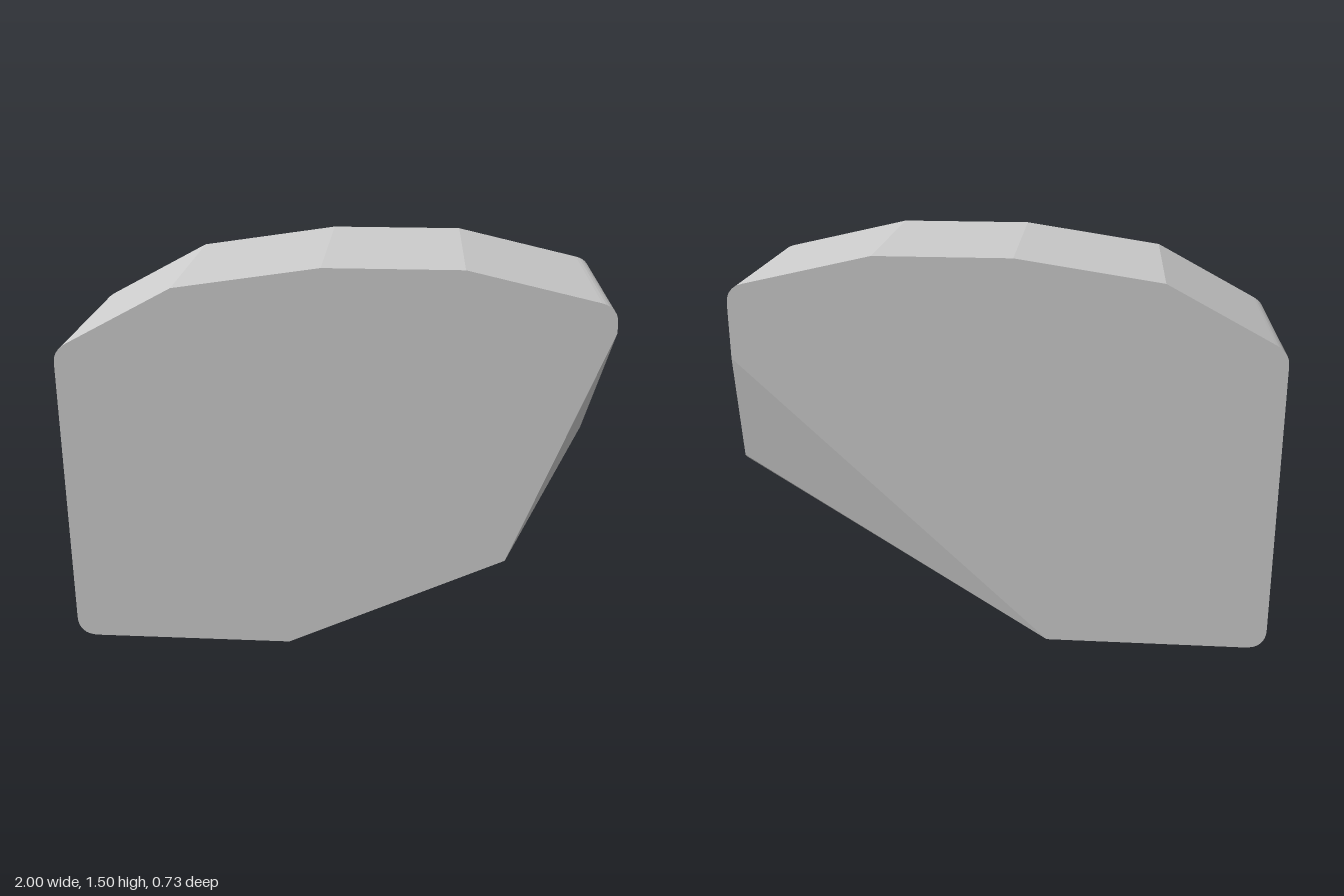
import * as THREE from 'three';
import { ConvexGeometry } from 'three/addons/geometries/ConvexGeometry.js';

const HALF_DEPTH = 0.363;

// Rounded corner between two tangent points
function roundCorner(from, corner, to, segments = 8) {
  return new THREE.QuadraticBezierCurve(
    new THREE.Vector2(...from), new THREE.Vector2(...corner), new THREE.Vector2(...to)
  ).getPoints(segments);
}

export function createModel() {
  const group = new THREE.Group();
  group.name = 'chamferedBlock';
  const grey = new THREE.MeshStandardMaterial({ color: 0xcccccc });
  grey.name = 'light grey';

  // Outline shared by the front and back faces
  const outline = [
    ...roundCorner([-1, 0.08], [-1, 0], [-0.92, 0]),
    new THREE.Vector2(-0.16, 0),
    ...roundCorner([1, 1.31], [1, 1.373], [0.94, 1.387]),
    new THREE.Vector2(0.47, 1.495),
    new THREE.Vector2(-0.03, 1.495),
    new THREE.Vector2(-0.56, 1.415),
    ...roundCorner([-0.95, 1.205], [-1, 1.178], [-1, 1.13]),
  ];

  const points = [];
  for (const z of [HALF_DEPTH, -HALF_DEPTH]) {
    for (const p of outline) points.push(new THREE.Vector3(p.x, p.y, z));
  }

  // Corners of the slanted cuts on the left and lower sides
  points.push(
    new THREE.Vector3(1, 1.28, HALF_DEPTH),
    new THREE.Vector3(0.66, 0.385, HALF_DEPTH),
    new THREE.Vector3(1, 0.69, -0.275),
    new THREE.Vector3(1, 0.708, -0.298),
    new THREE.Vector3(1, 1.11, -HALF_DEPTH)
  );

  const block = new THREE.Mesh(new ConvexGeometry(points), grey);
  block.name = 'block';
  group.add(block);
  return group;
}
